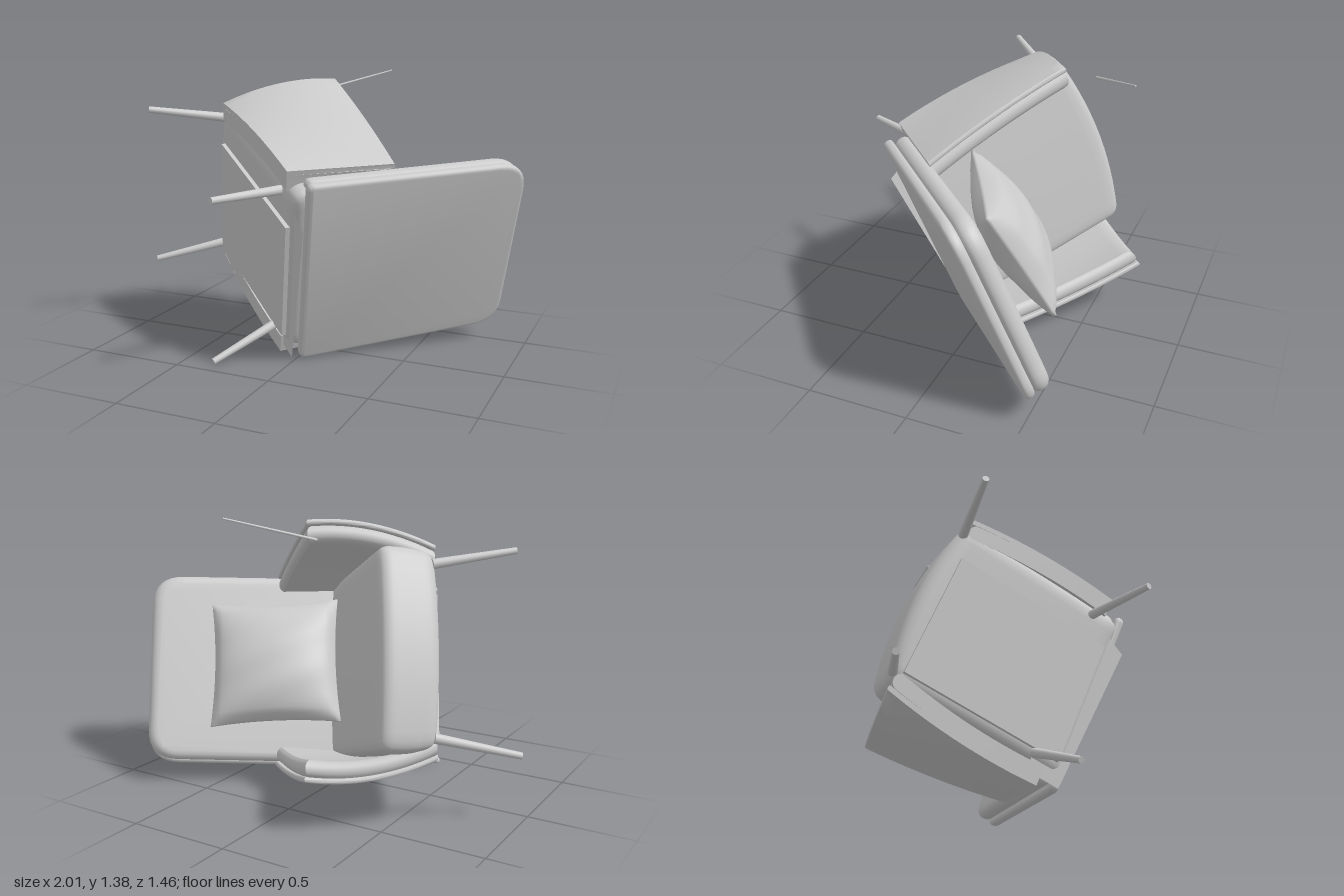
import * as THREE from 'three';
import { mergeVertices, toCreasedNormals } from 'three/addons/utils/BufferGeometryUtils.js';

const grey = new THREE.MeshStandardMaterial({ color: 0xcccccc, side: THREE.DoubleSide });

function add(parent, name, geometry) {
  const mesh = new THREE.Mesh(geometry, grey);
  mesh.name = name;
  parent.add(mesh);
  return mesh;
}

// Move every vertex by a rule
function warp(geometry, rule) {
  const pos = geometry.attributes.position, v = new THREE.Vector3();
  for (let i = 0; i < pos.count; i++) {
    rule(v.fromBufferAttribute(pos, i));
    pos.setXYZ(i, v.x, v.y, v.z);
  }
  return geometry;
}

function smooth(geometry) {
  geometry.deleteAttribute('normal');
  geometry.deleteAttribute('uv');
  const g = mergeVertices(geometry, 1e-4);
  g.computeVertexNormals();
  return g;
}

// Rounded box with a dense grid, so it can bulge
function cushion(w, h, d, r, rule) {
  const half = new THREE.Vector3(w / 2, h / 2, d / 2);
  const inner = half.clone().subScalar(r), core = new THREE.Vector3();
  const ease = (t, s) => Math.sin((t / s) * Math.PI / 2) * s;
  return smooth(warp(new THREE.BoxGeometry(w, h, d, 20, 16, 20), p => {
    p.set(ease(p.x, half.x), ease(p.y, half.y), ease(p.z, half.z));
    core.copy(p).clamp(inner.clone().negate(), inner);
    p.sub(core);
    if (p.length() > 1e-6) p.setLength(r);
    p.add(core);
    rule(p);
  }));
}

// Closed outline; each point is [x, y, corner radius]
function roundedShape(points) {
  const pts = points.map(([x, y]) => new THREE.Vector2(x, y)), n = pts.length;
  const shape = new THREE.Shape();
  pts.forEach((p, i) => {
    const toward = q => q.clone().sub(p).setLength(points[i][2]).add(p);
    const a = toward(pts[(i + n - 1) % n]), b = toward(pts[(i + 1) % n]);
    if (i === 0) shape.moveTo(a.x, a.y); else shape.lineTo(a.x, a.y);
    shape.quadraticCurveTo(p.x, p.y, b.x, b.y);
  });
  shape.closePath();
  return shape;
}

function slab(points, thickness, bevel) {
  return new THREE.ExtrudeGeometry(roundedShape(points), {
    depth: thickness - 2 * bevel, bevelThickness: bevel, bevelSize: bevel,
    bevelOffset: -bevel, bevelSegments: 4, curveSegments: 8,
  }).translate(0, 0, bevel);
}

function rod(parent, name, from, to, r0, r1) {
  const a = new THREE.Vector3(...from), b = new THREE.Vector3(...to);
  const dir = b.clone().sub(a);
  const mesh = add(parent, name, new THREE.CylinderGeometry(r1, r0, dir.length(), 16));
  mesh.position.copy(a).add(b).multiplyScalar(0.5);
  mesh.quaternion.setFromUnitVectors(new THREE.Vector3(0, 1, 0), dir.normalize());
}

export function createModel() {
  const model = new THREE.Group();
  model.name = 'tippedArmchair';
  const chair = new THREE.Group();
  chair.name = 'armchair';
  model.add(chair);

  // Seat, bowed out at the front, rising towards it, narrower underneath
  add(chair, 'seat', cushion(0.94, 0.25, 0.92, 0.06, p => {
    const front = p.z / 0.46, middle = 1 - (p.x / 0.47) ** 2;
    if (p.z > 0) p.z += 0.06 * middle * front;
    if (p.y < 0) p.x *= 1 + 0.4 * p.y;
    else p.y += 0.03 * front + 0.01 * middle;
  })).position.set(0.005, -0.045, 0.375);
  add(chair, 'bottomPanel', new THREE.BoxGeometry(0.65, 0.05, 0.83)).position.set(-0.06, -0.165, 0.375);

  // Thin flap under the seat, sticking out behind the backrest
  const flap = new THREE.Shape([[-0.49, 0.08], [-0.49, -0.1], [0.3, -0.155], [0.4, 0.08]]
    .map(([x, z]) => new THREE.Vector2(x, -z)));
  const flapMesh = add(chair, 'rearFlap', new THREE.ShapeGeometry(flap));
  flapMesh.rotation.x = -Math.PI / 2;
  flapMesh.position.y = -0.157;

  // Leaning backrest: outer shell and inner padding, square at the bottom
  const lean = p => { p.z -= 0.12 + 0.13 * (p.y + 0.12); };
  const back = (wb, wt, y0, y1) => [[-wb, y0, 0.04], [wb + 0.015, y0, 0.04], [wt, y1, 0.15], [-wt, y1, 0.15]];
  add(chair, 'backShell', toCreasedNormals(
    warp(slab(back(0.5, 0.485, -0.12, 0.97), 0.05, 0.02), lean), 0.6));
  add(chair, 'backPadding', toCreasedNormals(
    warp(slab(back(0.485, 0.47, -0.1, 0.985), 0.09, 0.04).translate(0, 0, 0.045), lean), 0.6));

  // Arms: a thin shell and a rolled padding, bulging outwards at the front
  const armGrid = new THREE.BoxGeometry(2, 2, 2, 8, 16, 16);
  for (const side of [1, -1]) {
    const arm = new THREE.Group();
    arm.name = side > 0 ? 'leftArm' : 'rightArm';
    chair.add(arm);
    const place = (inner, outer, inset, round) => {
      const g = warp(armGrid.clone(), p => {
        const t = (p.y + 1) / 2, s = (p.z + 1) / 2;
        const rear = 0.01 - 0.07 * t, front = 0.82 - 0.12 * t;
        // rounded rim along the top and front
        const rim = round * (1 - Math.sqrt(1 - 0.9 * p.x * p.x));
        const y = -0.17 + t * (0.52 + 0.06 * s - inset - rim);
        const z = rear + s * (front - rear - inset - rim);
        const bulge = 0.535 - 0.03 * t + s * (0.085 * t + 0.17 * t * (1 - t))
          - 0.045 * (1 - t) * s * s + 0.06 * s * (1 - s);
        const depth = inner + (outer - inner) * (p.x * side + 1) / 2;
        p.set(side * (bulge - depth), y, z);
      });
      // crossing from outside to inside mirrors the faces
      const index = g.index.array;
      for (let i = 0; i < index.length; i += 3) [index[i], index[i + 1]] = [index[i + 1], index[i]];
      return toCreasedNormals(g, 0.6);
    };
    add(arm, 'armShell', place(0, 0.025, 0, 0.01));
    add(arm, 'armPadding', place(0.023, 0.1, 0.005, 0.035));
  }

  // Splayed tapering legs
  for (const side of [1, -1]) {
    rod(chair, 'frontLeg', [side * 0.47, -0.535, 0.913], [side * 0.395, -0.15, 0.83], 0.016, 0.024);
    rod(chair, 'rearLeg', [side * 0.47, -0.535, 0], [side * 0.395, -0.15, 0.08], 0.016, 0.024);
  }

  // Thin loose rod beside the left arm
  rod(chair, 'looseRod', [0.458, 0.4, 0.835], [0.527, 0.81, 0.798], 0.007, 0.004);

  // Throw pillow with pinched sides and pointed corners
  const pillow = add(chair, 'pillow', smooth(warp(new THREE.BoxGeometry(2, 2, 2, 24, 24, 2), p => {
    const u = p.x, v = p.y;
    const puff = Math.sqrt(Math.max(0, (1 - u * u) * (1 - v * v)));
    p.set(
      0.315 * u * (1 - 0.06 * (1 - v * v)),
      0.32 * v * (1 - 0.06 * (1 - u * u)),
      p.z * (0.008 + 0.125 * puff + 0.004 * Math.sin(9 * u + 4 * v) * puff));
  })));
  pillow.position.set(0.005, 0.41, 0.15);
  pillow.rotation.set(-0.38, 0.15, 0.04);

  // The whole chair lies tipped over
  const x = new THREE.Vector3(0.19, 0.93, 0.317).normalize();
  const y = new THREE.Vector3(0.66, 0.118, -0.742).normalize();
  const z = new THREE.Vector3().crossVectors(x, y).normalize();
  y.crossVectors(z, x);
  chair.quaternion.setFromRotationMatrix(new THREE.Matrix4().makeBasis(x, y, z));
  chair.position.copy(x).multiplyScalar(0.555);
  return model;
}
